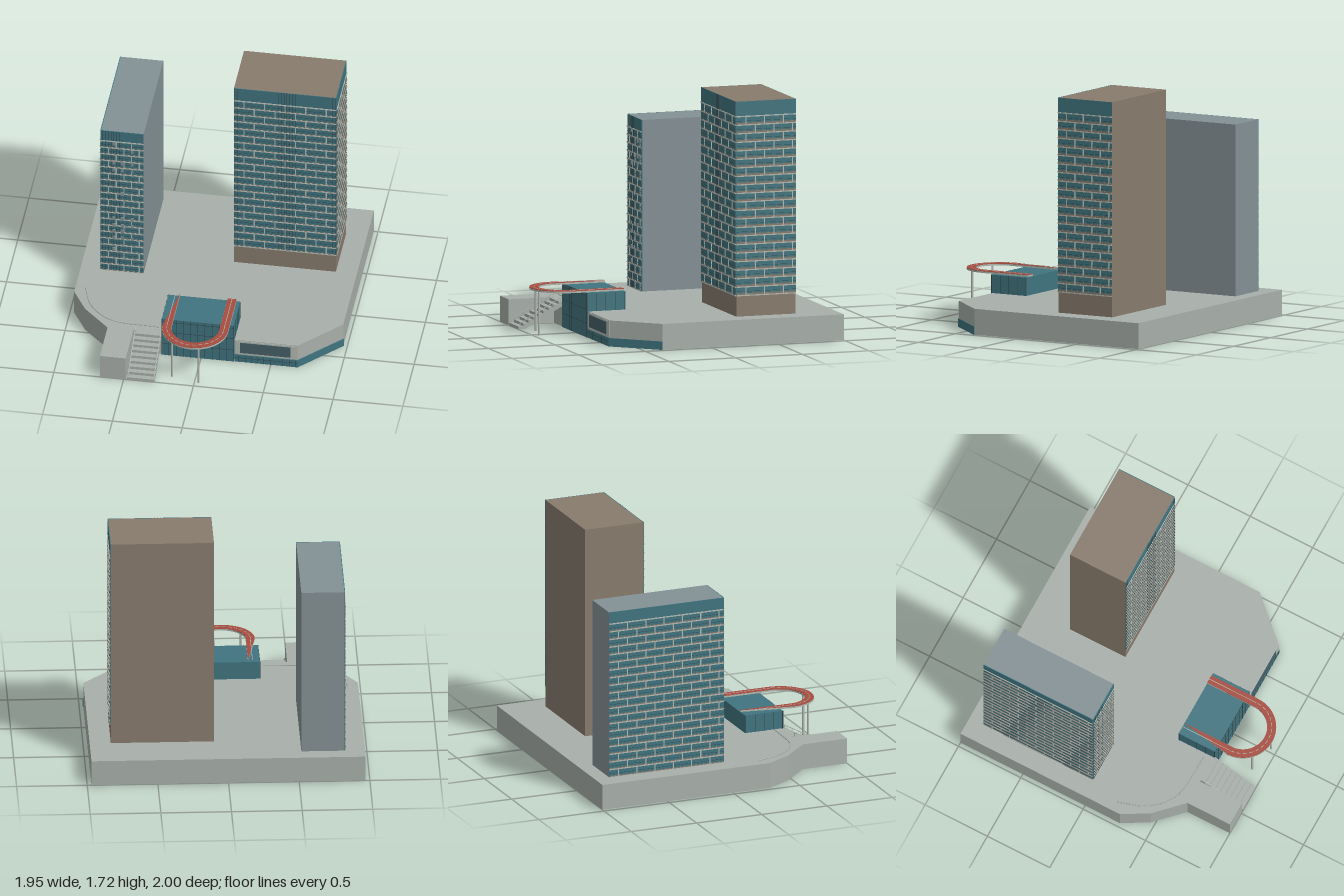
import * as THREE from 'three';
import { mergeGeometries } from 'three/addons/utils/BufferGeometryUtils.js';

const mat = (name, color) => {
  const m = new THREE.MeshStandardMaterial({ color });
  m.name = name;
  return m;
};

export function createModel() {
  const concrete = mat('concrete', 0xa8afaa);
  const slate = mat('slateWall', 0x849195);
  const brown = mat('brownWall', 0x887b6d);
  const glass = mat('tealGlass', 0x40747f);
  const dark = mat('darkFrame', 0x2f474c);
  const darkGlass = mat('darkGlass', 0x456067);
  const pale = mat('paleTrim', 0xb4b9b2);
  const red = mat('redDeck', 0xa64c3f);

  const root = new THREE.Group();
  root.name = 'towerComplex';
  const add = (name, geo, material, parent = root) => {
    const m = new THREE.Mesh(geo, material);
    m.name = name;
    parent.add(m);
    return m;
  };
  // Box from its minimum and maximum corners
  const box = (x0, x1, y0, y1, z0, z1) =>
    new THREE.BoxGeometry(x1 - x0, y1 - y0, z1 - z0)
      .translate((x0 + x1) / 2, (y0 + y1) / 2, (z0 + z1) / 2);
  // Horizontal plan (x, z) extruded upwards
  const prism = (pts, y0, y1) => new THREE.ExtrudeGeometry(
    new THREE.Shape(pts.map(([x, z]) => new THREE.Vector2(x, -z))),
    { depth: y1 - y0, bevelEnabled: false }).rotateX(-Math.PI / 2).translate(0, y0, 0);
  const bar = (a, b, r) => {
    const path = new THREE.LineCurve3(new THREE.Vector3(...a), new THREE.Vector3(...b));
    return new THREE.TubeGeometry(path, 1, r, 6);
  };

  // Podium, notched for the glass pavilion
  const top = 0.185;
  add('podium', prism([[-0.97, -1], [0.97, -1], [0.97, 0.36], [0.69, 0.66], [0.24, 0.66], [0.24, 0.38],
    [-0.28, 0.38], [-0.28, 0.66], [-0.67, 0.66], [-0.86, 0.47], [-0.97, 0.28]], 0, top), concrete);
  add('entranceBlock', box(-0.67, -0.485, 0, top, 0.655, 1), concrete);
  const kerb = new THREE.CatmullRomCurve3([[-0.9, 0.22], [-0.82, 0.43], [-0.66, 0.57], [-0.31, 0.6]]
    .map(([x, z]) => new THREE.Vector3(x, top + 0.003, z)));
  add('terraceKerb', new THREE.TubeGeometry(kerb, 24, 0.004, 6), concrete);

  // Shop glazing at street level
  const strip = [[0.24, 0.66], [0.69, 0.66], [0.97, 0.36]];
  add('streetGlazing', prism([...strip, [0.977, 0.362], [0.693, 0.667], [0.24, 0.667]], 0, 0.06), glass);
  add('displayFrame', box(0.25, 0.69, 0.068, 0.18, 0.66, 0.665), pale);
  add('displayWindow', box(0.28, 0.64, 0.08, 0.168, 0.664, 0.669), darkGlass);
  const shopBars = [box(0.24, 0.69, 0.035, 0.038, 0.666, 0.669)];
  for (let x = 0.27; x < 0.69; x += 0.045) shopBars.push(box(x, x + 0.003, 0, 0.06, 0.666, 0.669));
  add('streetMullions', mergeGeometries(shopBars), dark);

  // Outdoor stair: stepped top, sloping underside
  const steps = 9, stair = new THREE.Shape();
  stair.moveTo(-1, 0);
  for (let i = 0; i < steps; i++) {
    const y = (i + 1) * top / steps;
    stair.lineTo(-1 + i * 0.34 / steps, y);
    stair.lineTo(-1 + (i + 1) * 0.34 / steps, y);
  }
  stair.lineTo(-0.66, top - 0.03);
  stair.lineTo(-0.95, 0);
  add('stair', new THREE.ExtrudeGeometry(stair, { depth: 0.195, bevelEnabled: false })
    .rotateY(Math.PI / 2).translate(-0.475, 0, 0), concrete);
  const rails = [];
  for (const x of [-0.47, -0.285]) {
    rails.push(bar([x, 0.04, 0.99], [x, 0.215, 0.67], 0.003));
    for (let i = 0; i < 6; i++) {
      const z = 0.98 - i * 0.06, y = (1 - z) * 0.544;
      rails.push(bar([x, y, z], [x, y + 0.035, z], 0.002));
    }
  }
  add('stairRailing', mergeGeometries(rails), pale);

  // Glass pavilion with mullions
  add('pavilion', box(-0.28, 0.235, 0, 0.315, 0.38, 0.67), glass);
  const mull = [];
  for (let i = 0; i <= 10; i++) {
    const x = -0.28 + i * 0.0515;
    mull.push(box(x - 0.0015, x + 0.0015, 0, 0.315, 0.669, 0.673));
  }
  for (const y of [0.1, 0.2, 0.29]) mull.push(box(-0.28, 0.235, y, y + 0.003, 0.669, 0.673));
  for (const x of [-0.28, 0.235]) for (let i = 0; i <= 4; i++) {
    const z = 0.385 + i * 0.07;
    mull.push(box(x - 0.003, x + 0.003, 0, 0.315, z, z + 0.003));
  }
  add('pavilionMullions', mergeGeometries(mull), dark);

  // U-shaped elevated walkway
  const cx = -0.025, cz = 0.76, z0 = 0.38;
  const band = (r0, r1, y0, y1) => {
    const s = new THREE.Shape();
    s.moveTo(cx - r1, -z0);
    s.absarc(cx, -cz, r1, Math.PI, 2 * Math.PI, false);
    s.lineTo(cx + r1, -z0);
    s.lineTo(cx + r0, -z0);
    s.absarc(cx, -cz, r0, 2 * Math.PI, Math.PI, true);
    s.lineTo(cx - r0, -z0);
    return new THREE.ExtrudeGeometry(s, { depth: y1 - y0, bevelEnabled: false, curveSegments: 32 })
      .rotateX(-Math.PI / 2).translate(0, y0, 0);
  };
  add('walkwaySlab', band(0.17, 0.235, 0.317, 0.329), pale);
  add('walkwayDeck', band(0.171, 0.234, 0.329, 0.332), red);
  const dashes = [];
  for (const s of [-1, 1])
    dashes.push(box(cx + s * 0.2025 - 0.002, cx + s * 0.2025 + 0.002, 0.331, 0.3335, z0, cz));
  for (let i = 0; i < 14; i++) {
    const a = (i + 0.5) / 14 * Math.PI;
    dashes.push(new THREE.BoxGeometry(0.004, 0.0025, 0.03).rotateY(-a)
      .translate(cx + 0.2025 * Math.cos(a), 0.33225, cz + 0.2025 * Math.sin(a)));
  }
  add('walkwayLine', mergeGeometries(dashes), pale);
  for (const [x, z] of [[-0.167, 0.91], [0.03, 0.955]])
    add('walkwayColumn', new THREE.CylinderGeometry(0.008, 0.008, 0.32, 12).translate(x, 0.16, z), pale);

  // Window wall: glass sheet, floor lines and staggered mullions, facing local +z
  const facade = (name, w, y0, yBand, y1, rows, pitch, spandrel, stripes) => {
    const g = new THREE.Group();
    g.name = name;
    add('glassSheet', box(-w / 2, w / 2, y0, y1, 0, 0.005), glass, g);
    const light = [], sills = [], lines = [], h = (yBand - y0) / rows;
    for (let i = 0; i <= rows; i++) {
      const y = y0 + i * h;
      light.push(box(-w / 2, w / 2, y - 0.004, y + 0.004, 0.003, 0.01));
      if (i === rows) break;
      sills.push(box(-w / 2, w / 2, y + 0.004, y + 0.004 + spandrel, 0.003, 0.008));
      lines.push(box(-w / 2, w / 2, y + h * 0.45, y + h * 0.45 + 0.002, 0.003, 0.007));
      for (let x = -w / 2 + (i % 2 ? pitch : pitch / 2); x < w / 2 - 0.01; x += pitch)
        light.push(box(x - 0.004, x + 0.004, y, y + h, 0.003, 0.009));
    }
    for (const x of stripes) lines.push(box(x - 0.0015, x + 0.0015, y0, y1, 0.003, 0.008));
    add('floorLines', mergeGeometries(light), pale, g);
    add('sills', mergeGeometries(sills), brown, g);
    add('darkLines', mergeGeometries(lines), dark, g);
    root.add(g);
    return g;
  };

  // Tall tower
  add('tallTower', box(0.09, 0.82, top, 1.722, -0.69, -0.245), brown);
  const tallStripes = [-0.36, -0.34, 0.34, 0.36];
  for (let i = 0; i < 7; i++) tallStripes.push(-0.045 + i * 0.02);
  facade('tallFrontFacade', 0.73, 0.335, 1.615, 1.722, 21, 0.147, 0.003, tallStripes)
    .position.set(0.455, 0, -0.245);
  const tallSide = facade('tallSideFacade', 0.445, 0.335, 1.615, 1.722, 21, 0.14, 0.012, []);
  tallSide.position.set(0.82, 0, -0.4675);
  tallSide.rotation.y = Math.PI / 2;

  // Short tower
  add('shortTower', box(-0.825, -0.52, top, 1.412, -0.89, -0.015), slate);
  const shortFront = facade('shortFrontFacade', 0.305, top, 1.325, 1.412, 20, 0.11, 0.003,
    [-0.14, -0.12, -0.1, -0.08, -0.06, -0.04, -0.02]);
  shortFront.position.set(-0.6725, 0, -0.015);
  const shortSide = facade('shortSideFacade', 0.875, top, 1.325, 1.412, 20, 0.14, 0.006, []);
  shortSide.position.set(-0.825, 0, -0.4525);
  shortSide.rotation.y = -Math.PI / 2;

  // Small vents scattered in three columns on the short front
  const vents = [];
  const columns = [[-0.73, [1.31, 1.14, 1.08, 0.65, 0.59, 0.54, 0.48, 0.38]],
    [-0.67, [1.14, 1.08, 0.87, 0.65, 0.59, 0.54, 0.48]], [-0.6, [1.25, 1.14, 1.08, 0.65, 0.59, 0.48]]];
  for (const [x, ys] of columns)
    for (const y of ys) vents.push(box(x - 0.01, x + 0.01, y - 0.014, y + 0.014, -0.012, -0.003));
  add('frontVents', mergeGeometries(vents), slate);

  return root;
}
